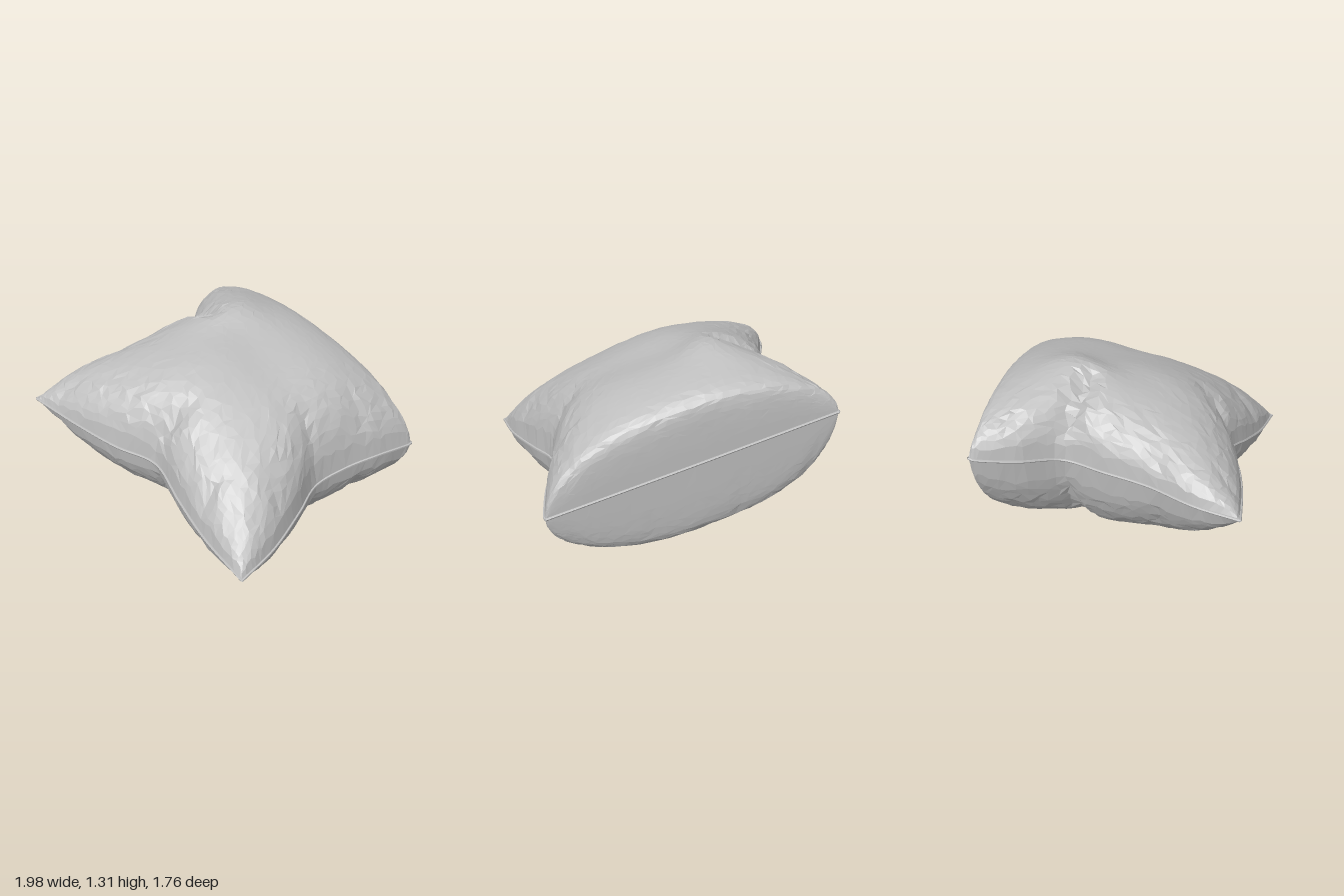
import * as THREE from 'three';

const N = 42, WALL = -0.885;
const curve = (pts) => new THREE.CatmullRomCurve3(pts.map((p) => new THREE.Vector3(...p)));

// Seam edges; the sides run back to front, the others from -x to +x
const left = curve([[-0.95, 0.96, -1.08], [-0.95, 0.95, -0.88], [-0.86, 0.91, -0.6], [-0.71, 0.86, -0.33],
  [-0.76, 0.84, -0.05], [-0.83, 0.83, 0.25], [-0.95, 0.81, 0.57], [-0.99, 0.78, 0.86]]);
const right = curve([[0.97, 0.48, -1.08], [0.97, 0.48, -0.88], [0.91, 0.49, -0.58], [0.83, 0.47, -0.33],
  [0.78, 0.43, -0.06], [0.86, 0.39, 0.2], [0.95, 0.33, 0.56], [0.97, 0.28, 0.87]]);
const front = curve([[-0.99, 0.78, 0.86], [-0.6, 0.71, 0.82], [-0.28, 0.65, 0.76], [0, 0.6, 0.67],
  [0.3, 0.49, 0.75], [0.6, 0.38, 0.82], [0.97, 0.28, 0.87]]);
const back = curve([[-0.95, 0.96, -1.08], [0, 0.72, -1.1], [0.97, 0.48, -1.08]]);

// Creases running in from the seam: start u, v, end u, v, width, depth
const creases = [
  [0, 1, 0.1, 0.8, 0.05, 0.35], [0.58, 1, 0.6, 0.84, 0.04, 0.25], [-0.85, 1, -0.8, 0.85, 0.04, 0.25],
  [-1, -0.15, -0.5, 0.02, 0.06, 0.25], [-1, 0.5, -0.86, 0.48, 0.04, 0.2],
  [1, 0.15, 0.84, 0.12, 0.05, 0.2], [1, -0.3, 0.84, -0.32, 0.05, 0.2], [1, 0.62, 0.88, 0.6, 0.04, 0.2],
  [0.3, -1, 0.28, -0.75, 0.03, 0.12], [-0.3, -1, -0.32, -0.75, 0.03, 0.12],
  [-0.92, -1, -0.8, -0.8, 0.05, 0.2], [0.92, -1, 0.8, -0.8, 0.05, 0.2],
];

const hash = (i, j, k) => {
  const s = Math.sin(i * 127.1 + j * 311.7 + k * 74.7) * 43758.5453;
  return (s - Math.floor(s)) * 2 - 1;
};

// The back rounds off into a nearly flat, upright face
const press = (z) => WALL + 0.5 * (z - WALL + Math.hypot(z - WALL, 0.12));

// Middle surface spanned between the four seam edges
function middle(u, v) {
  const s = (u + 1) / 2, t = (v + 1) / 2;
  const p = new THREE.Vector3();
  p.addScaledVector(left.getPoint(t), 1 - s).addScaledVector(right.getPoint(t), s);
  p.addScaledVector(back.getPoint(s), 1 - t).addScaledVector(front.getPoint(s), t);
  p.addScaledVector(left.getPoint(0), -(1 - s) * (1 - t)).addScaledVector(right.getPoint(0), -s * (1 - t));
  p.addScaledVector(left.getPoint(1), -(1 - s) * t).addScaledVector(right.getPoint(1), -s * t);
  return p;
}

const bulge = (a, power) => Math.sqrt(Math.max(0, 1 - Math.pow(Math.abs(a), power)));
const bell = (a, width) => Math.exp(-((a / width) ** 2));

function dent(u, v) {
  let d = 1;
  for (const [u0, v0, u1, v1, w, depth] of creases) {
    const du = u1 - u0, dv = v1 - v0;
    const t = THREE.MathUtils.clamp(((u - u0) * du + (v - v0) * dv) / (du * du + dv * dv), 0, 1);
    const r = Math.hypot(u - u0 - du * t, v - v0 - dv * t) / w;
    d *= 1 - depth * (1 - 0.7 * t) * Math.exp(-r * r);
  }
  return d;
}

// Filling height; the walls are steeper where the seam is pinched inwards
function filling(u, v, side) {
  if (side < 0) {
    return 0.62 * bulge(u, u < 0 ? 4.2 : 1.9) * bulge(v, v < 0 ? 3.2 : 1.8) * dent(u, v);
  }
  const acrossU = u < 0 ? 2.1 + 1.2 * bell(v + 0.1, 0.35) : 3.4 + 2.5 * bell(v - 0.1, 0.4);
  const acrossV = v < 0 ? 2.3 : 2.6 + 1.2 * bell(u, 0.3);
  const ridge = 0.06 * bell(u + 0.4, 0.25) * bell(v + 0.1, 0.3);
  return (0.53 + ridge) * bulge(u, acrossU) * bulge(v, acrossV) * dent(u, v);
}

// One half of the cover, side = 1 above the seam and -1 below it
function shell(side) {
  const pos = [], index = [];
  for (let j = 0; j <= N; j++) for (let i = 0; i <= N; i++) {
    const rim = i === 0 || j === 0 || i === N || j === N;
    const k = rim ? 0 : 0.32;
    const warp = (a) => 0.35 * a + 0.65 * Math.sin(a * Math.PI / 2);
    const u = warp(((i + k * hash(i, j, side)) / N) * 2 - 1);
    const v = warp(((j + k * hash(i, j, side + 5)) / N) * 2 - 1);
    const p = middle(u, v);
    const edge = Math.max(Math.abs(u), Math.abs(v));
    let h = filling(u, v, side);
    // Small folds grow towards the seam
    if (!rim) h *= 1 + hash(i, j, side + 9) * 0.05 * Math.pow(edge, 5);
    pos.push(p.x, p.y + side * h, press(p.z));
  }
  for (let j = 0; j < N; j++) for (let i = 0; i < N; i++) {
    const a = j * (N + 1) + i, b = a + 1, c = a + N + 1, d = c + 1;
    const tris = hash(i, j, 3) > 0 ? [a, c, b, b, c, d] : [a, c, d, a, d, b];
    index.push(...(side > 0 ? tris : tris.reverse()));
  }
  const g = new THREE.BufferGeometry();
  g.setAttribute('position', new THREE.Float32BufferAttribute(pos, 3));
  g.setIndex(index);
  g.computeVertexNormals();
  return g;
}

export function createModel() {
  const group = new THREE.Group();
  group.name = 'pillow';
  const fabric = new THREE.MeshStandardMaterial({ color: 0xbdbdbd, flatShading: true, side: THREE.DoubleSide });
  fabric.name = 'greyFabric';
  const add = (name, geometry) => {
    const m = new THREE.Mesh(geometry, fabric);
    m.name = name;
    group.add(m);
  };
  add('upperCover', shell(1));
  add('lowerCover', shell(-1));

  // Thin piping along the seam
  Object.entries({ left, right, front, back }).forEach(([name, edge]) => {
    const pts = edge.getPoints(40).map((p) => p.setZ(press(p.z)));
    add(name + 'Piping', new THREE.TubeGeometry(new THREE.CatmullRomCurve3(pts), 60, 0.01, 6));
  });

  // Rest the pillow on the ground
  const box = new THREE.Box3().setFromObject(group);
  group.position.y = -box.min.y;
  return group;
}
